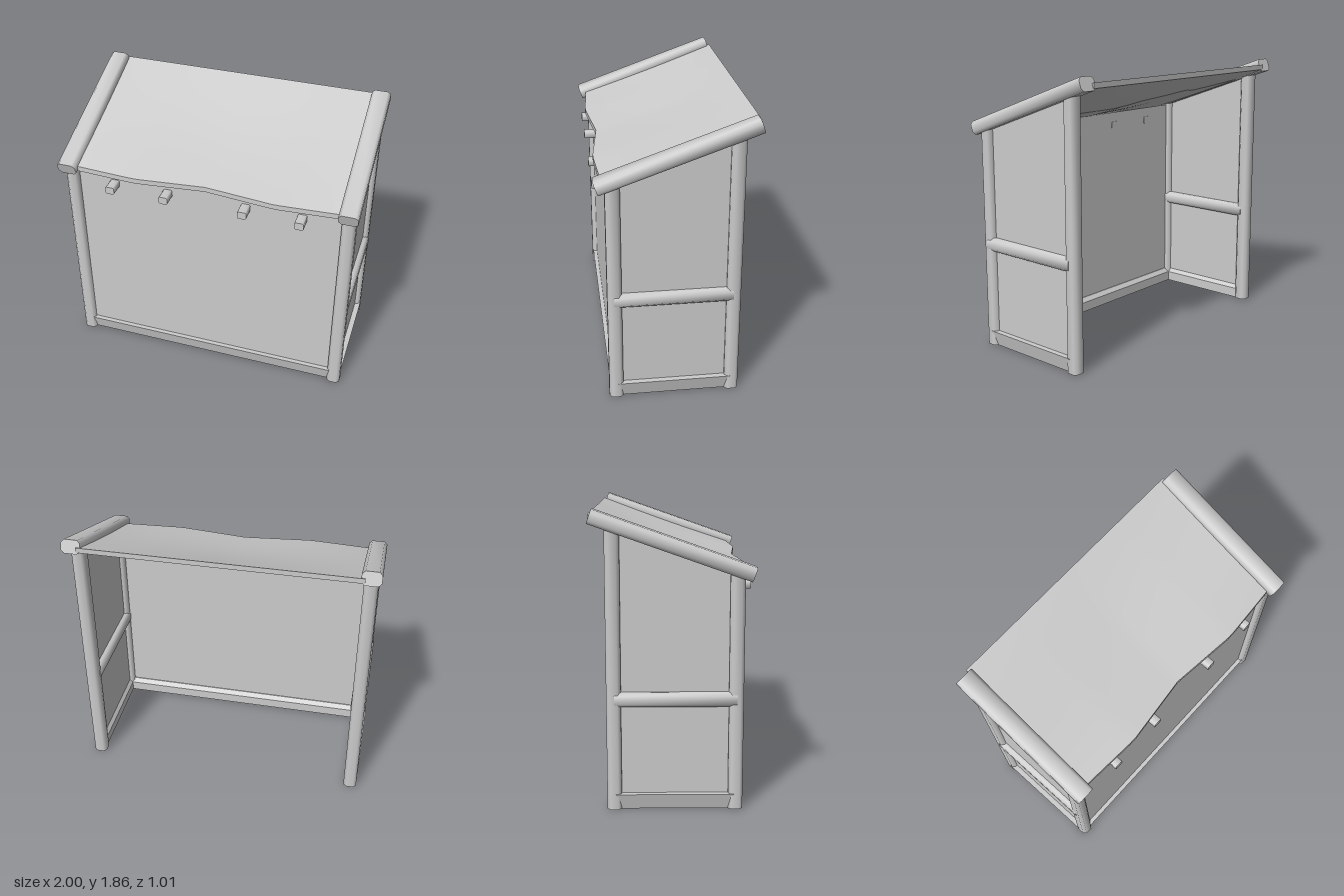
import * as THREE from 'three';
import { toCreasedNormals } from 'three/addons/utils/BufferGeometryUtils.js';

const grey = new THREE.MeshStandardMaterial({ color: 0xcccccc });
grey.name = 'plain grey';

// Height of the underside of the sloping rafters at depth z
const roofLine = (z) => 1.43 + 0.349 * (0.475 - z);

function extrude(points, length) {
  const shape = new THREE.Shape(points.map(([x, y]) => new THREE.Vector2(x, y)));
  const geo = new THREE.ExtrudeGeometry(shape, { depth: length, bevelEnabled: false });
  geo.translate(0, 0, -length / 2);
  return geo;
}

// Beam along z with softened long edges
function timber(w, h, length, c = 0.02) {
  const a = w / 2, b = h / 2;
  return toCreasedNormals(extrude([
    [a - c, -b], [a, -b + c], [a, b - c], [a - c, b],
    [-a + c, b], [-a, b - c], [-a, -b + c], [-a + c, -b],
  ], length), 0.9);
}

export function createModel() {
  const model = new THREE.Group();
  model.name = 'leanToShelter';

  function add(name, geo, x = 0, y = 0, z = 0) {
    const mesh = new THREE.Mesh(geo, grey);
    mesh.name = name;
    mesh.position.set(x, y, z);
    model.add(mesh);
    return mesh;
  }

  // Front wall and base board, whose outer face leans inward to the ground
  const board = [[-0.04, 0], [0.015, 0], [0.04, 0.1], [-0.015, 0.1], [-0.04, 0.07]];
  add('frontWall', new THREE.BoxGeometry(1.86, 1.43, 0.02), 0, 0.745, 0.395);
  add('frontBaseBoard', extrude(board, 1.84), 0, 0, 0.395).rotation.y = -Math.PI / 2;

  for (const [side, s] of [['left', 1], ['right', -1]]) {
    // Corner posts
    for (const [end, z] of [['Front', 0.395], ['Back', -0.355]]) {
      const height = roofLine(z) + 0.03;
      const post = add(side + end + 'Post', timber(0.09, 0.09, height), s * 0.935, height / 2, z);
      post.rotation.x = -Math.PI / 2;
    }

    // Side panel with a sloping top edge, drawn in (z, y)
    const panel = extrude([
      [-0.37, 0.03], [0.4, 0.03], [0.4, roofLine(0.4) + 0.02], [-0.37, roofLine(-0.37) + 0.02],
    ], 0.02);
    add(side + 'Wall', panel, s * 0.935).rotation.y = -Math.PI / 2;

    // Middle rail and base board
    add(side + 'Rail', timber(0.1, 0.09, 0.75), s * 0.935, 0.705, 0.025);
    const base = add(side + 'BaseBoard', extrude(board, 0.73), s * 0.943, 0, 0.02);
    if (s < 0) base.rotation.y = Math.PI;

    // Sloping rafter over the edge of the roof
    const rafter = add(side + 'Rafter', timber(0.125, 0.09, 1.037), s * 0.9375, 1.643, 0.004);
    rafter.rotation.x = Math.atan(0.353);

    // Pegs poking through the front wall
    for (const x of [0.265, 0.637]) {
      add(side + 'Peg', timber(0.06, 0.052, 0.12, 0.008), s * x, 1.365, 0.44);
    }
  }

  // Sagging roof sheet with a wavy front edge
  const sheet = new THREE.BoxGeometry(1.8, 0.035, 1, 32, 1, 20);
  const pos = sheet.attributes.position;
  for (let i = 0; i < pos.count; i++) {
    const x = pos.getX(i), ax = Math.abs(x), v = pos.getZ(i) + 0.5;
    const front = ax < 0.47 ? 0.43 + 0.05 * ax / 0.47 : 0.48 - 0.025 * (ax - 0.47) / 0.41;
    const sag = 0.03 * Math.sin(Math.PI * v) * Math.cos(x * 1.5);
    const y = THREE.MathUtils.lerp(1.803, 1.464, v) - sag + pos.getY(i);
    pos.setXYZ(i, x, y, THREE.MathUtils.lerp(-0.5, front, v));
  }
  sheet.computeVertexNormals();
  add('roofSheet', sheet);

  return model;
}
